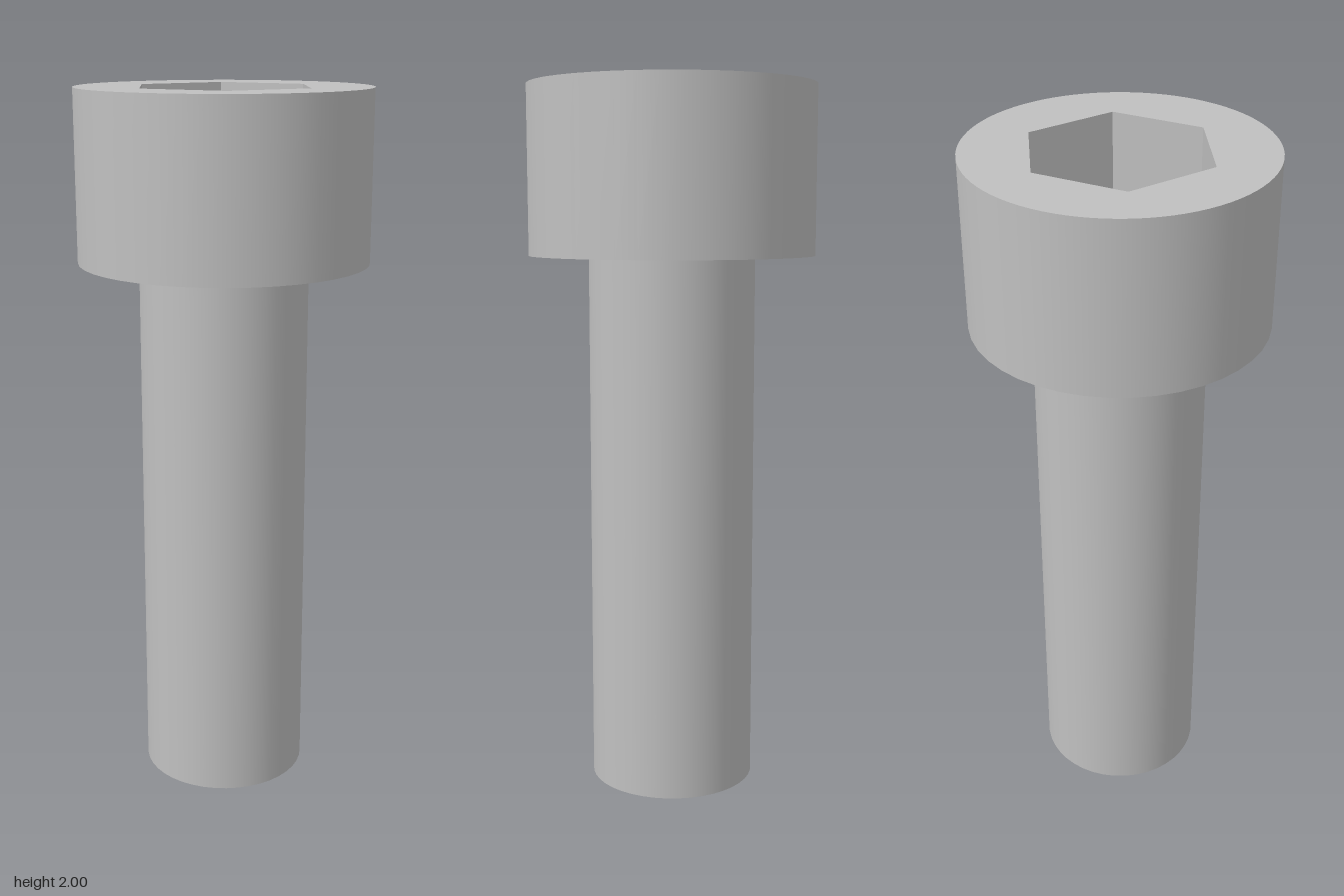
import * as THREE from 'three';

const SIDES = 42;
const HEAD_R = 0.405, HEAD_BOTTOM = 1.53, TOP = 2;
const SHANK_R = 0.236;
const SOCKET_R = 0.258, SOCKET_DEPTH = 0.25;

export function createModel() {
  const group = new THREE.Group();
  const steel = new THREE.MeshStandardMaterial({ color: 0xc0c0c0 });
  steel.name = 'steel';

  const add = (name, geometry, y) => {
    const mesh = new THREE.Mesh(geometry, steel);
    mesh.name = name;
    mesh.position.y = y;
    group.add(mesh);
  };

  // Horizontal flat face, looking up (or down), from a shape
  const flat = (shape, up = true) =>
    new THREE.ShapeGeometry(shape, SIDES).rotateX(up ? -Math.PI / 2 : Math.PI / 2);

  // Upright smooth wall with a corner on the x axis
  const wall = (radius, height) =>
    new THREE.CylinderGeometry(radius, radius, height, SIDES, 1, true).rotateY(Math.PI / 2);

  const disc = (radius) => new THREE.Shape().absarc(0, 0, radius, 0, Math.PI * 2, false);

  const hexPoints = [];
  for (let i = 0; i < 6; i++) {
    const a = (i * Math.PI) / 3;
    hexPoints.push(new THREE.Vector2(SOCKET_R * Math.cos(a), SOCKET_R * Math.sin(a)));
  }

  // Head: wall, top rim around the socket, and the shoulder underneath
  const headHeight = TOP - HEAD_BOTTOM;
  add('headWall', wall(HEAD_R, headHeight), HEAD_BOTTOM + headHeight / 2);

  const rim = disc(HEAD_R);
  rim.holes.push(new THREE.Path(hexPoints));
  add('headRim', flat(rim), TOP);

  const shoulder = disc(HEAD_R);
  shoulder.holes.push(disc(SHANK_R));
  add('headShoulder', flat(shoulder, false), HEAD_BOTTOM);

  // Hexagonal socket: inward-facing flat walls and a floor
  for (let i = 0; i < 6; i++) {
    const a = (i * Math.PI) / 3;
    const side = new THREE.PlaneGeometry(SOCKET_R, SOCKET_DEPTH);
    side.translate(0, 0, -SOCKET_R * Math.cos(Math.PI / 6)).rotateY(a);
    add('socketWall' + (i + 1), side, TOP - SOCKET_DEPTH / 2);
  }
  add('socketFloor', flat(new THREE.Shape(hexPoints)), TOP - SOCKET_DEPTH);

  // Shank and its flat end
  add('shank', wall(SHANK_R, HEAD_BOTTOM), HEAD_BOTTOM / 2);
  add('shankEnd', flat(disc(SHANK_R), false), 0);

  return group;
}
